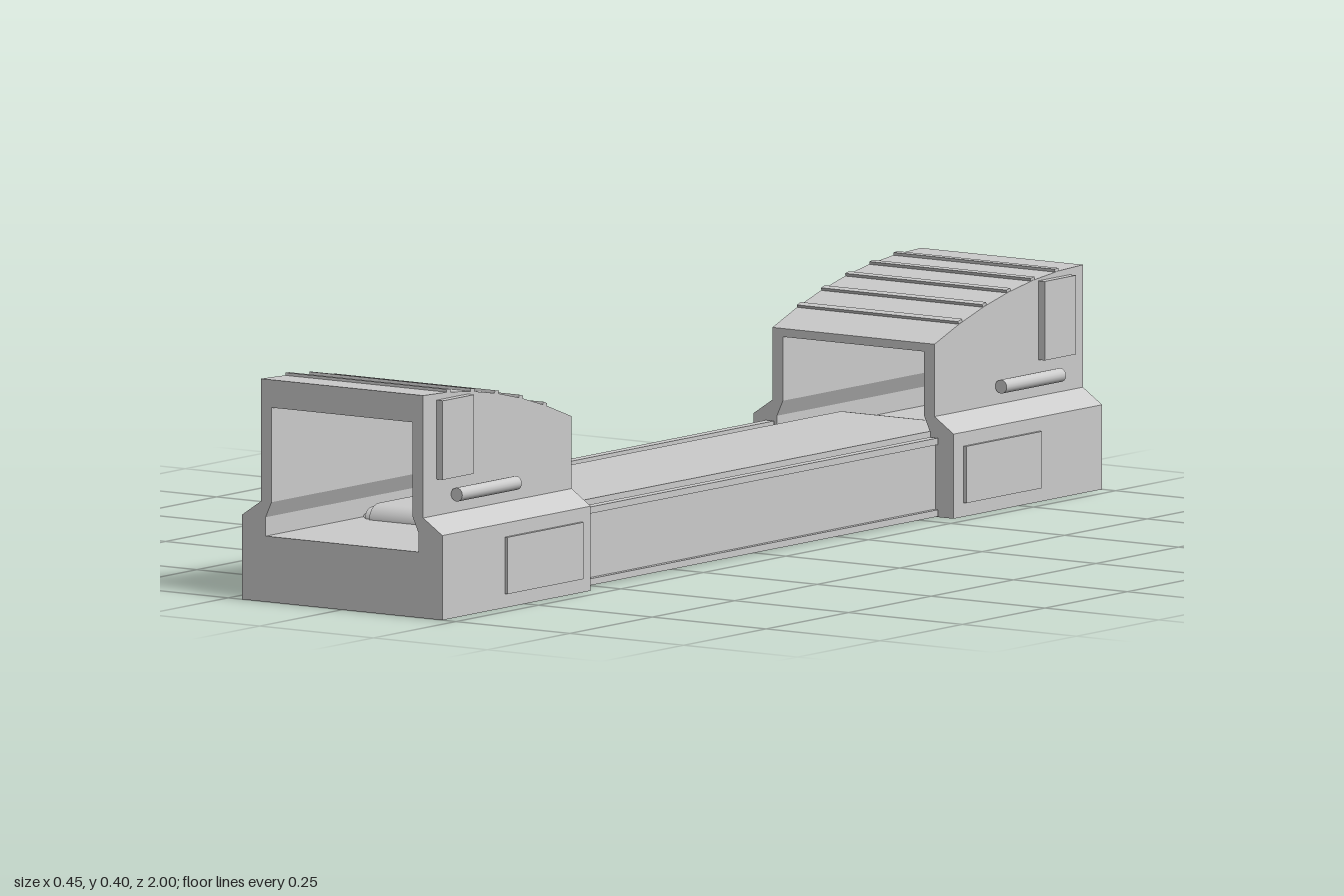
import * as THREE from 'three';

const material = new THREE.MeshStandardMaterial({ color: 0xcccccc, flatShading: true });
const smooth = new THREE.MeshStandardMaterial({ color: 0xcccccc });

function add(parent, name, geometry, x = 0, y = 0, z = 0, mat = material) {
  const mesh = new THREE.Mesh(geometry, mat);
  mesh.name = name;
  mesh.position.set(x, y, z);
  parent.add(mesh);
  return mesh;
}

// box given by its limits
function box(parent, name, x0, x1, y0, y1, z0, z1) {
  return add(parent, name, new THREE.BoxGeometry(Math.abs(x1 - x0), y1 - y0, z1 - z0),
    (x0 + x1) / 2, (y0 + y1) / 2, (z0 + z1) / 2);
}

const Z0 = 0.55, Z1 = 1;
const roofY = z => 0.4 - 0.09 * ((Z1 - z) / (Z1 - Z0)) ** 2;
const ceilingY = z => 0.295 + 0.055 * (z - Z0) / (Z1 - Z0);

// right half of a cross-section mirrored into a counter-clockwise loop
function loop(half, z) {
  const right = half.map(([x, y]) => [x, y, z]);
  const left = half.map(([x, y]) => [-x, y, z]).reverse();
  return [...right, ...left];
}

// tunnel shell lofted along z with an outer and an inner skin
function tunnelGeometry() {
  const steps = 6, pos = [];
  const quad = (a, b, c, d) => pos.push(...a, ...b, ...c, ...a, ...c, ...d);
  const sections = [];
  for (let k = 0; k <= steps; k++) {
    const z = Z0 + (Z1 - Z0) * k / steps;
    sections.push({
      outer: loop([[0.22, 0], [0.22, 0.152], [0.178, 0.18], [0.178, roofY(z)]], z),
      inner: loop([[0.168, 0.118], [0.168, 0.152], [0.155, 0.18], [0.155, ceilingY(z)]], z),
    });
  }
  const first = sections[0], last = sections[steps];
  for (let i = 0; i < 8; i++) {
    const j = (i + 1) % 8;
    for (let k = 0; k < steps; k++) {
      const a = sections[k], b = sections[k + 1];
      quad(a.outer[i], a.outer[j], b.outer[j], b.outer[i]);
      quad(a.inner[j], a.inner[i], b.inner[i], b.inner[j]);
    }
    quad(last.outer[i], last.outer[j], last.inner[j], last.inner[i]);
    quad(first.outer[j], first.outer[i], first.inner[i], first.inner[j]);
  }
  const g = new THREE.BufferGeometry();
  g.setAttribute('position', new THREE.Float32BufferAttribute(pos, 3));
  g.computeVertexNormals();
  return g;
}

function createTunnel() {
  const tunnel = new THREE.Group();
  add(tunnel, 'tunnelShell', tunnelGeometry());

  // raised ribs across the roof
  for (let k = 0; k < 5; k++) {
    const z = 0.63 + k * 0.073;
    const slope = Math.atan2(roofY(z + 0.01) - roofY(z - 0.01), 0.02);
    const rib = add(tunnel, 'roofRib', new THREE.BoxGeometry(0.354, 0.01, 0.012), 0, roofY(z), z);
    rib.rotation.x = -slope;
  }

  // side panels, grab bars and lower plates
  for (const s of [-1, 1]) {
    box(tunnel, 'upperSidePanel', s * 0.17, s * 0.192, 0.245, 0.387, 0.865, 0.96);
    box(tunnel, 'lowerSidePlate', s * 0.21, s * 0.226, 0.025, 0.127, 0.58, 0.81);
    const bar = add(tunnel, 'grabBar', new THREE.CylinderGeometry(0.0125, 0.0125, 0.18, 16),
      s * 0.19, 0.213, 0.825, smooth);
    bar.rotation.x = Math.PI / 2;
  }

  // end roller with stepped axle
  for (const [name, r, halfWidth] of [['roller', 0.03, 0.137], ['rollerCollar', 0.022, 0.152], ['rollerAxle', 0.009, 0.165]]) {
    const roll = add(tunnel, name, new THREE.CylinderGeometry(r, r, halfWidth * 2, 24), 0, 0.115, 0.7, smooth);
    roll.rotation.z = Math.PI / 2;
  }
  return tunnel;
}

export function createModel() {
  const model = new THREE.Group();
  model.name = 'conveyorScanner';

  // matching tunnels at both ends
  for (const end of [0, 1]) {
    const tunnel = createTunnel();
    tunnel.name = end ? 'backTunnel' : 'frontTunnel';
    tunnel.rotation.y = end * Math.PI;
    model.add(tunnel);
  }

  box(model, 'belt', -0.137, 0.137, 0.128, 0.145, -0.7, 0.7);

  // channel-shaped side rails
  for (const s of [-1, 1]) {
    box(model, 'railWeb', s * 0.173, s * 0.18, 0.005, 0.14, -0.55, 0.55);
    for (const y of [0.002, 0.131])
      box(model, 'railFlange', s * 0.171, s * 0.189, y, y + 0.012, -0.545, 0.545);
  }

  // I-section cross beams under the belt
  for (let k = -4; k <= 4; k++) {
    const z = k * 0.134;
    box(model, 'beamWeb', -0.174, 0.174, 0.04, 0.12, z - 0.006, z + 0.006);
    for (const y of [0.032, 0.116])
      box(model, 'beamFlange', -0.174, 0.174, y, y + 0.011, z - 0.031, z + 0.031);
  }
  return model;
}
